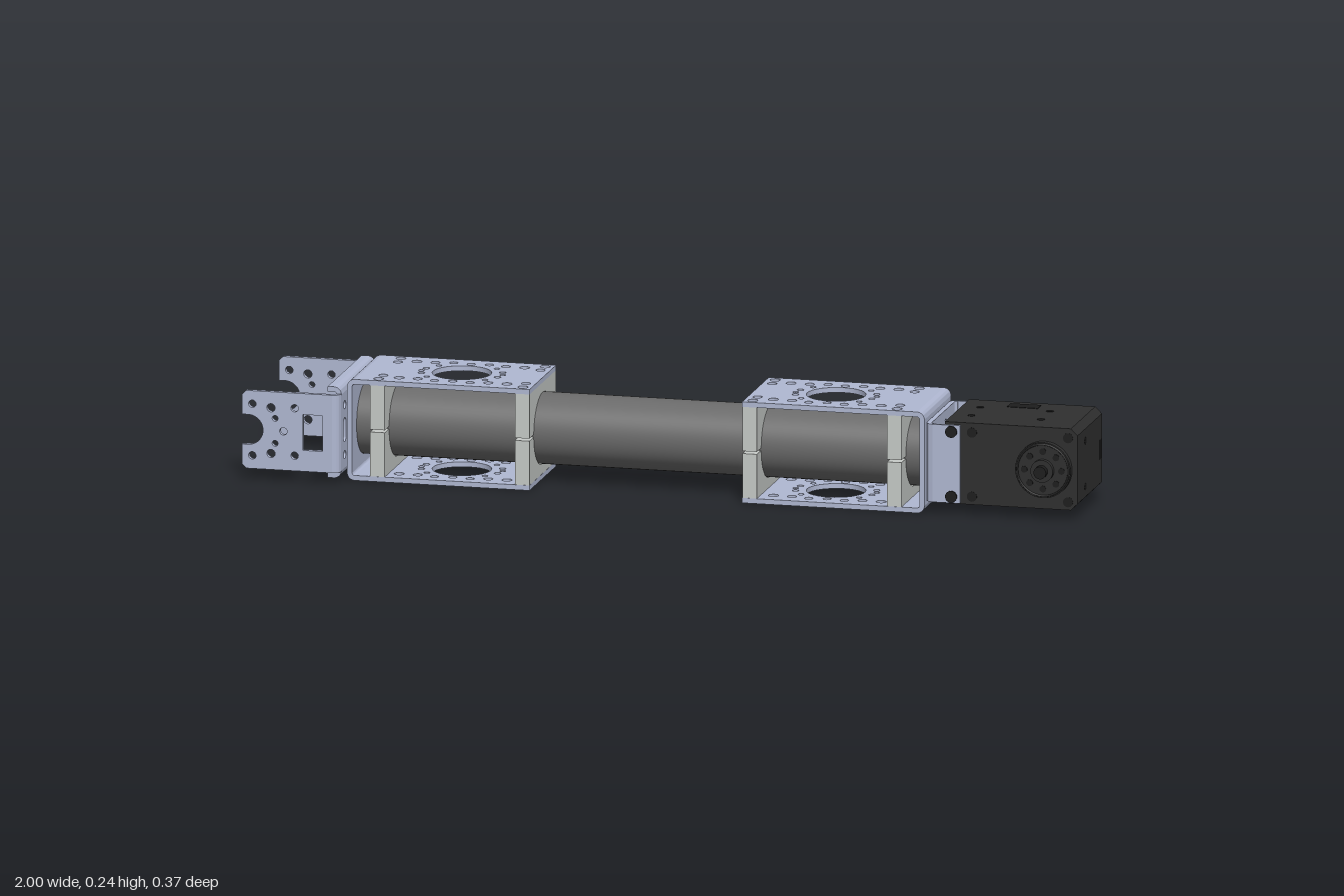
import * as THREE from 'three';
import { toCreasedNormals } from 'three/addons/utils/BufferGeometryUtils.js';

const mat = (name, color) => Object.assign(new THREE.MeshStandardMaterial({ color }), { name });
const HALF = Math.PI / 2;
const T = 0.012; // sheet metal thickness
const BEND = 0.018; // outer bend radius

export function createModel() {
  const metal = mat('bluish aluminium', 0xb0b8d2);
  const clampMat = mat('pale grey clamp', 0xc6cac7);
  const tubeMat = mat('grey tube', 0x6a6a6a);
  const black = mat('servo black', 0x2f2f2f);
  const dark = mat('dark detail', 0x1d1d1d);

  const model = new THREE.Group();
  model.name = 'armLink';
  const body = new THREE.Group(); // everything is centred on the tube axis
  body.name = 'link';
  body.position.y = 0.1215;
  model.add(body);

  const add = (parent, name, geo, material, x = 0, y = 0, z = 0) => {
    const m = new THREE.Mesh(geo, material);
    m.name = name;
    m.position.set(x, y, z);
    parent.add(m);
    return m;
  };
  const subgroup = (parent, name) => {
    const g = new THREE.Group();
    g.name = name;
    parent.add(g);
    return g;
  };
  const poly = (pts) => new THREE.Shape(pts.map(([x, y]) => new THREE.Vector2(x, y)));
  const rect = (x0, y0, x1, y1) => poly([[x0, y0], [x1, y0], [x1, y1], [x0, y1]]);
  const chamfered = (x0, y0, x1, y1, c) => poly([[x0 + c, y0], [x1 - c, y0], [x1, y0 + c], [x1, y1 - c],
    [x1 - c, y1], [x0 + c, y1], [x0, y1 - c], [x0, y0 + c]]);
  const hole = (s, x, y, r) => s.holes.push(new THREE.Path().absarc(x, y, r, 0, Math.PI * 2, true));
  const extrude = (s, depth, segs = 12) => toCreasedNormals(
    new THREE.ExtrudeGeometry(s, { depth, bevelEnabled: false, curveSegments: segs }), 0.6);

  // Quarter-round bend running along z
  const bend = (length, start) => {
    const s = new THREE.Shape();
    s.absarc(0, 0, BEND, start, start + HALF, false);
    s.absarc(0, 0, BEND - T, start + HALF, start, true);
    return extrude(s, length, 6).translate(0, 0, -length / 2);
  };
  // Hub pattern: centre hole with a ring of small holes
  const hubHoles = (s) => {
    hole(s, 0, 0, 0.04);
    for (let i = 0; i < 8; i++) {
      const a = (i + 0.5) * Math.PI / 4;
      hole(s, Math.cos(a) * 0.068, Math.sin(a) * 0.068, 0.008);
    }
  };
  const cylZ = (r, depth, segs = 40) => new THREE.CylinderGeometry(r, r, depth, segs).rotateX(HALF);

  // Hollow main tube
  const ring = [[0.076, -0.69], [0.085, -0.69], [0.085, 0.69], [0.076, 0.69], [0.076, -0.69]];
  const tubeGeo = new THREE.LatheGeometry(ring.map(([r, y]) => new THREE.Vector2(r, y)), 48);
  add(body, 'tube', toCreasedNormals(tubeGeo.rotateZ(-HALF), 0.6), tubeMat, -0.06, 0.001, 0);

  // Perforated channel plate
  const plateShape = rect(-0.245 + BEND, -0.128, 0.195, 0.128);
  hole(plateShape, 0, 0, 0.07);
  for (const s of [-1, 1]) {
    for (const t of [-1, 1]) {
      hole(plateShape, s * 0.174, t * 0.107, 0.012);
      for (const [x, z, r] of [[0.13, 0.085, 0.012], [0.085, 0.085, 0.011], [0.043, 0.093, 0.01],
        [0.092, 0.024, 0.008], [0.07, 0.058, 0.007], [0.172, 0.07, 0.011]]) hole(plateShape, s * x, t * z, r);
    }
    hole(plateShape, 0, s * 0.088, 0.01);
    hole(plateShape, s * 0.098, 0, 0.007);
  }
  const plateGeo = extrude(plateShape, T, 16).rotateX(-HALF);
  const wallShape = rect(-0.128, -0.1215 + BEND, 0.128, 0.1215 - BEND);
  hubHoles(wallShape);
  const wallGeo = extrude(wallShape, T).rotateY(HALF);

  // Half of a split tube clamp
  const halfShape = new THREE.Shape();
  halfShape.moveTo(0.127, 0.003);
  halfShape.lineTo(0.127, 0.1095);
  halfShape.lineTo(-0.127, 0.1095);
  halfShape.lineTo(-0.127, 0.003);
  halfShape.lineTo(-0.0855, 0.003);
  halfShape.absarc(0, 0, 0.0855, Math.PI - 0.035, 0.035, true);
  const halfGeo = extrude(halfShape, 0.035, 24).rotateY(HALF).translate(-0.0175, 0, 0);

  // Two mirrored channels, each holding two clamps
  for (const [name, x, turn] of [['rightChannel', -0.515, 0], ['leftChannel', 0.388, Math.PI]]) {
    const ch = subgroup(body, name);
    ch.position.x = x;
    ch.rotation.y = turn;
    add(ch, 'channelEndWall', wallGeo, metal, -0.245);
    for (const flip of [0, Math.PI]) {
      const side = subgroup(ch, flip ? 'lowerHalf' : 'upperHalf');
      side.rotation.x = flip;
      add(side, 'channelPlate', plateGeo, metal, 0, 0.1215 - T, 0);
      add(side, 'channelBend', bend(0.256, HALF), metal, -0.245 + BEND, 0.1215 - BEND, 0);
      for (const cx of [-0.172, 0.177]) add(side, 'clampHalf', halfGeo, clampMat, cx);
    }
  }

  // Fork bracket at the right end
  const fork = subgroup(body, 'forkBracket');
  const webShape = rect(-0.165, -0.1095 + BEND, 0.165, 0.1095 - BEND);
  hubHoles(webShape);
  for (const s of [-1, 1]) {
    const slot = new THREE.Path();
    slot.absarc(s * 0.13, 0.018, 0.011, 0, Math.PI, false);
    slot.absarc(s * 0.13, -0.018, 0.011, Math.PI, Math.PI * 2, false);
    webShape.holes.push(slot);
    for (const t of [-1, 1]) hole(webShape, s * 0.13, t * 0.06, 0.01);
  }
  add(fork, 'forkWeb', extrude(webShape, T).rotateY(HALF), metal, -0.765 - T);

  const legShape = new THREE.Shape();
  legShape.moveTo(-0.783, -0.0935);
  legShape.lineTo(-0.783, 0.0935);
  legShape.lineTo(-0.99, 0.0935);
  legShape.lineTo(-1, 0.0835);
  legShape.lineTo(-1, 0.036);
  legShape.lineTo(-0.985, 0.036);
  legShape.absarc(-0.985, 0, 0.036, HALF, -HALF, true);
  legShape.lineTo(-1, -0.036);
  legShape.lineTo(-1, -0.0835);
  legShape.lineTo(-0.99, -0.0935);
  const win = rect(-0.853, -0.043, -0.806, 0.043);
  legShape.holes.push(new THREE.Path(win.getPoints().reverse()));
  hole(legShape, -0.9, 0, 0.009);
  for (const t of [-1, 1]) {
    for (const [x, y, r] of [[-0.975, 0.062, 0.009], [-0.93, 0.055, 0.01], [-0.873, 0.057, 0.009], [-0.92, 0.03, 0.007]])
      hole(legShape, x, t * y, r);
  }
  const legGeo = extrude(legShape, T);
  for (const flip of [0, Math.PI]) {
    const side = subgroup(fork, flip ? 'forkBackSide' : 'forkFrontSide');
    side.rotation.x = flip;
    add(side, 'forkLeg', legGeo, metal, 0, 0, 0.183 - T);
    add(side, 'forkLegBend', bend(0.187, 0).rotateX(HALF), metal, -0.783, 0, 0.183 - BEND);
    // short stiffening lip
    add(side, 'forkLip', new THREE.BoxGeometry(0.015, T, 0.326), metal, -0.7905, 0.1095 - T / 2, 0);
    add(side, 'forkLipBend', bend(0.326, 0), metal, -0.783, 0.1095 - BEND, 0);
  }

  // Servo mounting bracket
  const mount = subgroup(body, 'servoBracket');
  const mountShape = rect(-0.107, -0.0935, 0.107, 0.0935);
  hubHoles(mountShape);
  add(mount, 'mountWeb', extrude(mountShape, T).rotateY(HALF), metal, 0.634);
  for (const flip of [0, Math.PI]) {
    const side = subgroup(mount, flip ? 'mountBackSide' : 'mountFrontSide');
    side.rotation.x = flip;
    add(side, 'mountTab', extrude(chamfered(0.652, -0.0935, 0.718, 0.0935, 0.0005), T - 0.005), metal, 0, 0, 0.118);
    add(side, 'mountBend', bend(0.187, HALF).rotateX(HALF), metal, 0.652, 0, 0.125 - BEND);
    for (const y of [-0.078, 0.078]) add(side, 'mountScrew', cylZ(0.014, 0.01, 20), dark, 0.697, y, 0.124);
  }

  // Servo body with chamfered outer edges
  const servo = subgroup(body, 'servo');
  const caseShape = poly([[0.68, -0.098], [0.984, -0.098], [1, -0.082], [1, 0.082], [0.984, 0.098], [0.68, 0.098]]);
  add(servo, 'servoCase', extrude(caseShape, 0.234), black, 0, 0.002, -0.116);
  const AX = 0.92;
  for (const s of [-1, 1]) {
    const tag = s > 0 ? 'front' : 'back';
    add(servo, tag + 'HornDisc', cylZ(0.067, 0.016), black, AX, 0, s * 0.125);
    add(servo, tag + 'HornRing', new THREE.TorusGeometry(0.062, 0.003, 6, 40), dark, AX, 0, s * 0.132);
    for (let i = 0; i < 8; i++) {
      const a = i * Math.PI / 4;
      add(servo, tag + 'HornHole', cylZ(0.008, 0.002, 14), dark, AX + Math.cos(a) * 0.045, Math.sin(a) * 0.045, s * 0.1335);
    }
    for (const x of [0.745, 0.977]) for (const y of [-0.077, 0.077])
      add(servo, tag + 'CaseScrew', cylZ(0.012, 0.004, 18), dark, x, y, s * 0.117);
    // dimples on the top, bottom and end faces
    for (const x of [0.725, 0.893]) for (const z of [-0.043, 0.043])
      add(servo, 'caseDimple', new THREE.CylinderGeometry(0.009, 0.009, 0.002, 18), dark, x, s * 0.098 + 0.002, z);
    add(servo, 'endDimple', new THREE.CylinderGeometry(0.009, 0.009, 0.002, 18).rotateZ(HALF), dark, 0.9995, s * 0.0555, 0.042);
  }
  add(servo, 'hornHub', cylZ(0.027, 0.014, 32), black, AX, 0, 0.139);
  add(servo, 'hornBoss', cylZ(0.015, 0.02, 24), dark, AX, 0, 0.153);
  add(servo, 'backHub', cylZ(0.025, 0.002, 32), dark, AX, 0, -0.1335);
  add(servo, 'topPort', new THREE.BoxGeometry(0.075, 0.002, 0.036), dark, 0.822, 0.1, -0.078);
  add(servo, 'endPort', new THREE.BoxGeometry(0.002, 0.047, 0.021), dark, 0.9995, 0.002, -0.105);

  return model;
}
